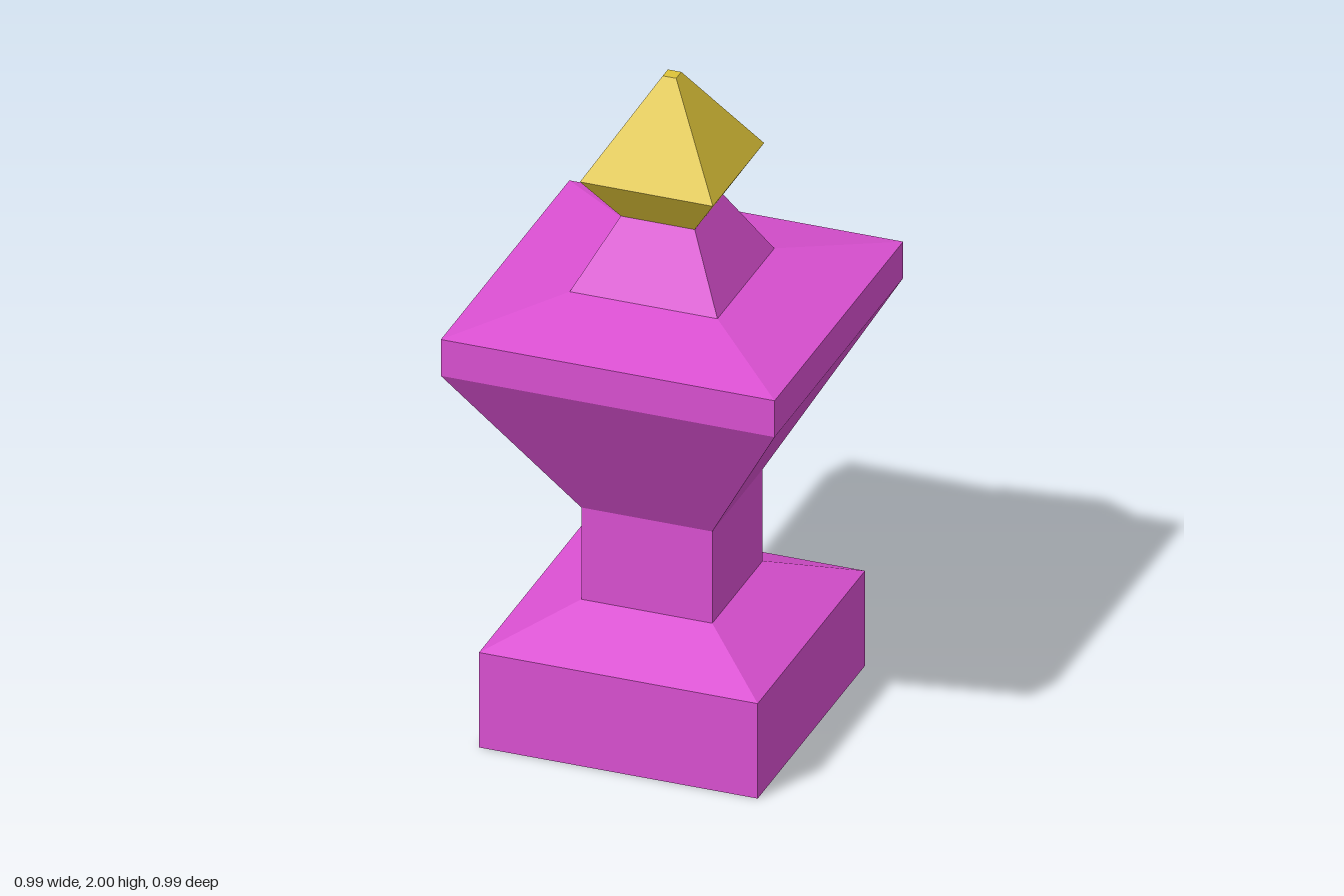
import * as THREE from 'three';

const bodyMaterial = new THREE.MeshStandardMaterial({ color: 0xdb50d2, flatShading: true });
const goldMaterial = new THREE.MeshStandardMaterial({ color: 0xddc338, flatShading: true });

// Square solid from [half width, height] steps, bottom to top, closed at both ends
function squareTurned(name, steps, material) {
  const profile = [[0, steps[0][1]], ...steps, [0, steps[steps.length - 1][1]]]
    .map(([half, y]) => new THREE.Vector2(half * Math.SQRT2, y));
  const lathe = new THREE.LatheGeometry(profile, 4, Math.PI / 4);
  const geometry = lathe.toNonIndexed();
  geometry.computeVertexNormals();
  const mesh = new THREE.Mesh(geometry, material);
  mesh.name = name;
  return mesh;
}

export function createModel() {
  const model = new THREE.Group();
  model.name = 'squareFinialPost';

  // Plinth with sloped shoulders
  model.add(squareTurned('plinth', [[0.415, 0], [0.415, 0.3], [0.195, 0.4]], bodyMaterial));

  // Narrow square neck
  model.add(squareTurned('neck', [[0.195, 0.4], [0.195, 0.69]], bodyMaterial));

  // Flared bowl with an upright rim and shallow roof
  model.add(squareTurned('flaredHead',
    [[0.195, 0.69], [0.497, 1.2], [0.497, 1.315], [0.22, 1.38]], bodyMaterial));

  // Tapered collar under the finial
  model.add(squareTurned('collar', [[0.22, 1.38], [0.11, 1.585]], bodyMaterial));

  // Gold pointed finial with a small flat tip
  model.add(squareTurned('finial', [[0.11, 1.585], [0.198, 1.72], [0.02, 2]], goldMaterial));

  return model;
}
